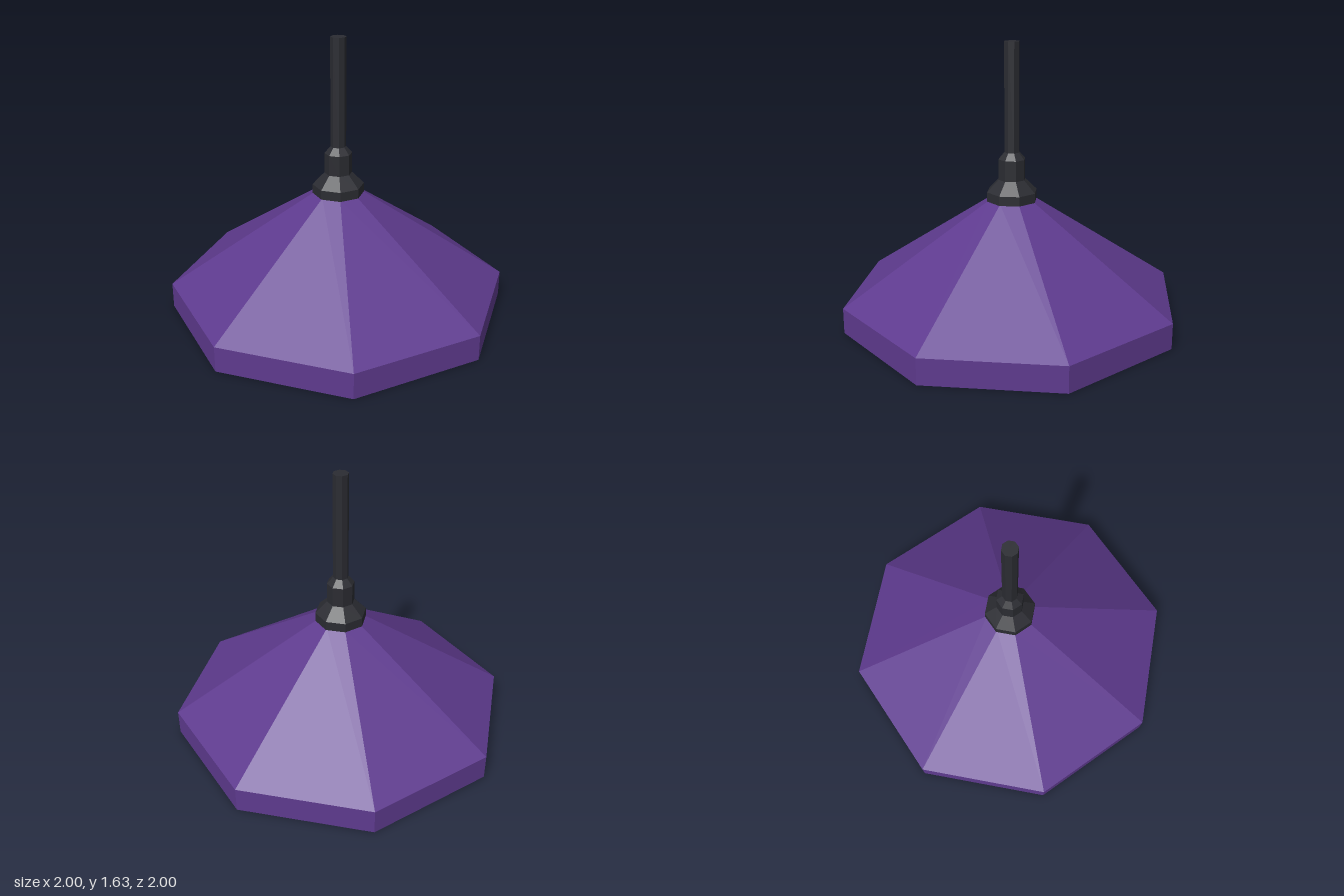
import * as THREE from 'three';

const SIDES = 8;

function makeMaterial(name, color) {
  const material = new THREE.MeshStandardMaterial({ color, flatShading: true });
  material.name = name;
  return material;
}

// Faceted turned part; a profile running upwards faces outwards.
function turned(name, profile, material) {
  const points = profile.map(([r, y]) => new THREE.Vector2(r, y));
  const geometry = new THREE.LatheGeometry(points, SIDES).toNonIndexed();
  geometry.computeVertexNormals();
  const mesh = new THREE.Mesh(geometry, material);
  mesh.name = name;
  return mesh;
}

export function createModel() {
  const purple = makeMaterial('purple enamel', 0x5e3a8e);
  const black = makeMaterial('black metal', 0x2b2c32);
  const yellow = makeMaterial('warm glass', 0xb9b068);

  const lamp = new THREE.Group();
  lamp.name = 'pendantLamp';

  // Hollow shade: inside from the ceiling down, under the rim, then up the outside
  lamp.add(turned('shade', [
    [0, 0.66], [0.1, 0.66], [0.88, 0.13], [0.88, 0],
    [1, 0], [1, 0.15], [0.14, 0.72], [0, 0.72],
  ], purple));

  // Stepped collar above the shade
  lamp.add(turned('collar', [
    [0, 0.715], [0.15, 0.715], [0.15, 0.77], [0.08, 0.84],
    [0.08, 0.96], [0.045, 1.0], [0, 1.0],
  ], black));

  // Hanging rod
  lamp.add(turned('rod', [
    [0, 0.99], [0.045, 0.99], [0.045, 1.63], [0, 1.63],
  ], black));

  // Bulb with its neck running up into the shade
  lamp.add(turned('bulb', [
    [0, 0.01], [0.08, 0.01], [0.18, 0.06], [0.25, 0.19],
    [0.12, 0.45], [0.09, 0.68], [0, 0.68],
  ], yellow));

  return lamp;
}
